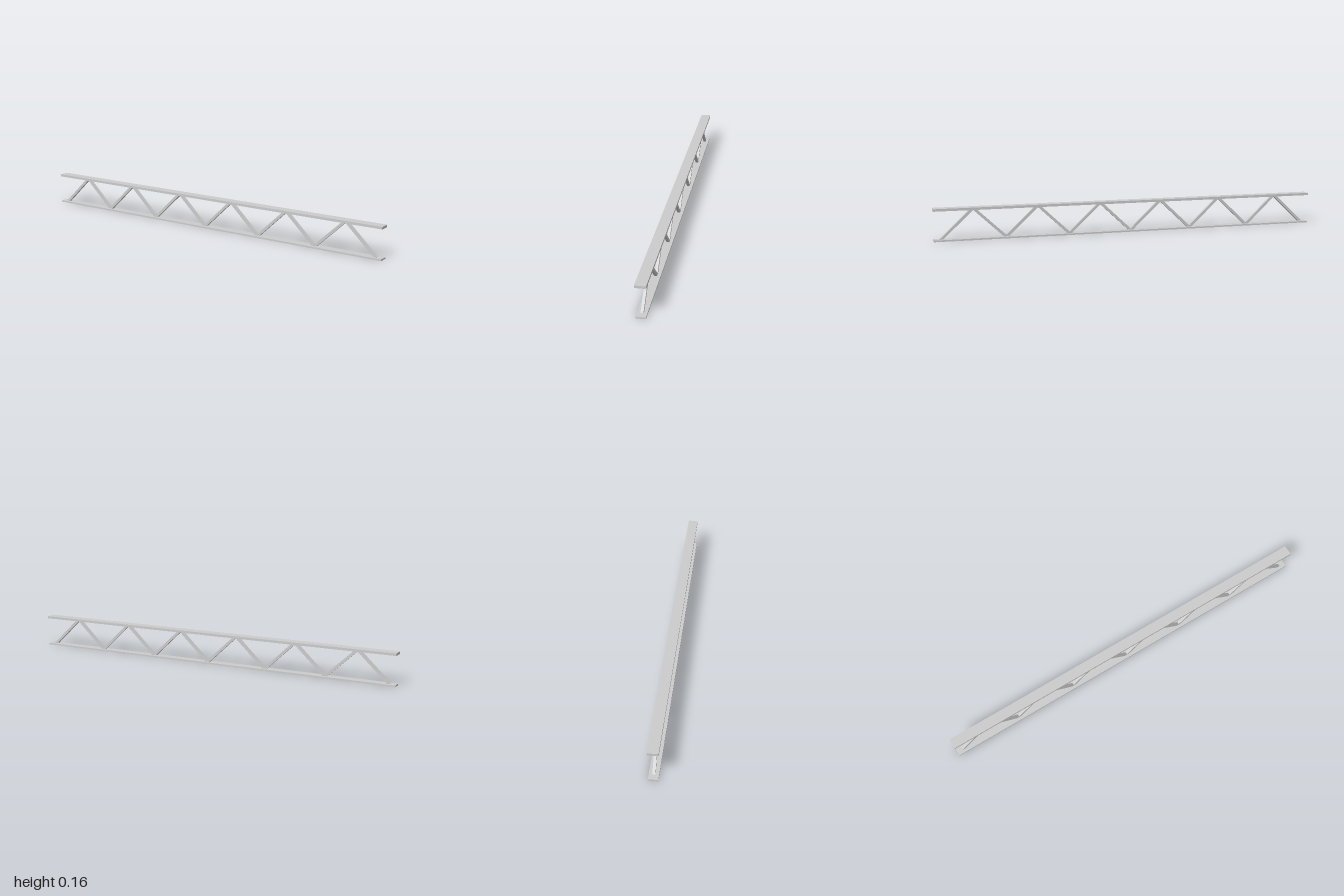
import * as THREE from 'three';

const material = new THREE.MeshStandardMaterial({ color: 0xcccccc, flatShading: true });

function bar(name, length, height, depth, x, y) {
  const mesh = new THREE.Mesh(new THREE.BoxGeometry(length, height, depth), material);
  mesh.name = name;
  mesh.position.set(x, y, 0);
  return mesh;
}

export function createModel() {
  const model = new THREE.Group();
  model.name = 'trussBeam';

  // Flat chords along the top and bottom
  model.add(bar('topChord', 2, 0.012, 0.052, 0, 0.156));
  model.add(bar('bottomChord', 2, 0.008, 0.046, 0, 0.004));

  // Zigzag web of square bars between the chords
  const web = new THREE.Group();
  web.name = 'web';
  const count = 12, step = 0.161, low = 0.0055, high = 0.1565, thick = 0.0135;
  const rise = high - low;
  for (let i = 0; i < count; i++) {
    const x = (i - (count - 1) / 2) * step;
    const diagonal = bar('diagonal', Math.hypot(step, rise), thick, thick, x, (low + high) / 2);
    diagonal.rotation.z = Math.atan2(i % 2 ? -rise : rise, step);
    web.add(diagonal);
  }
  model.add(web);
  return model;
}
